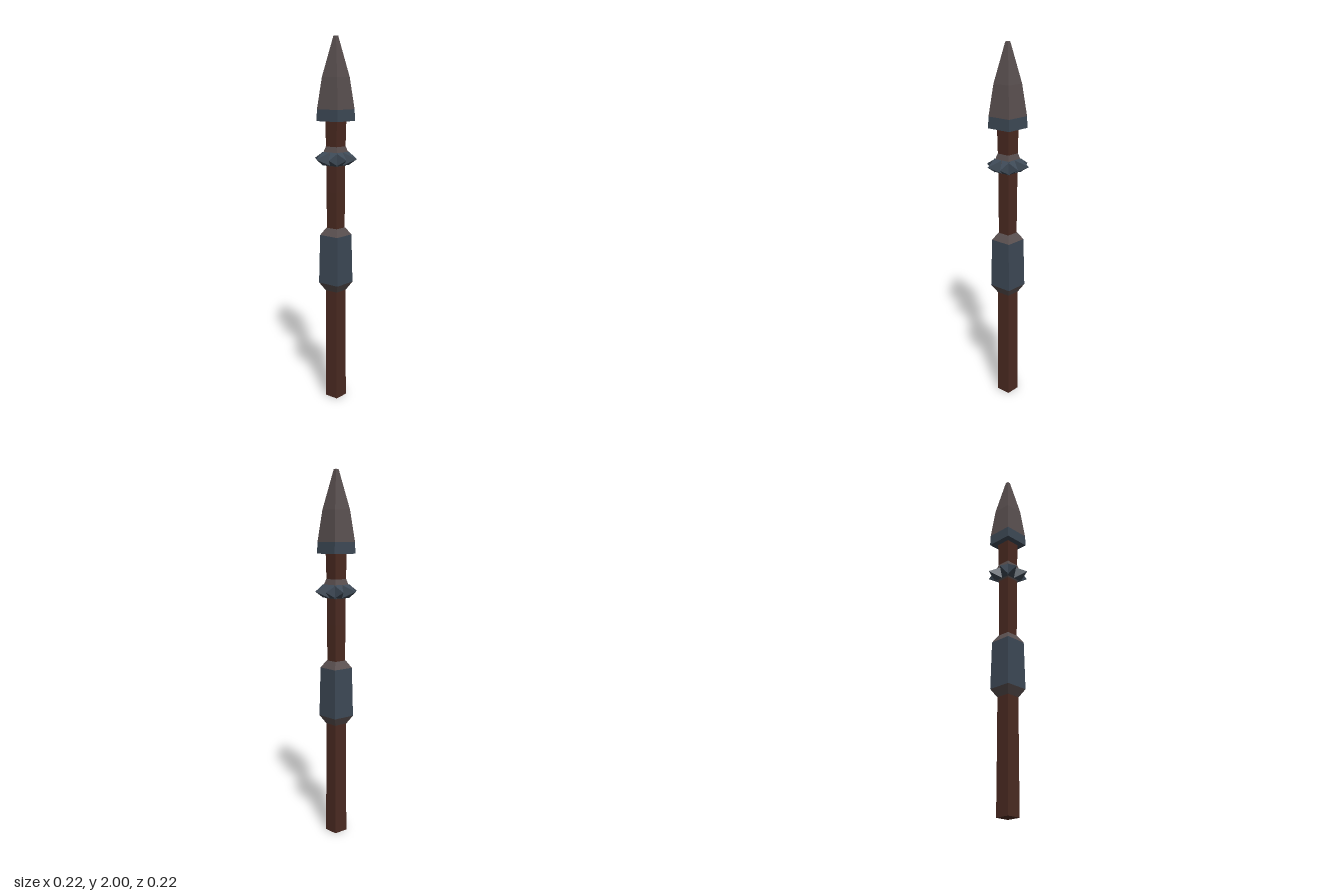
import * as THREE from 'three';

const mat = (name, color) => Object.assign(new THREE.MeshStandardMaterial({ color }), { name });

// Gives every face its own normal for a hard, low-poly look
function faceted(geo) {
  const g = geo.index ? geo.toNonIndexed() : geo;
  g.computeVertexNormals();
  return g;
}

// Closed square column through [half width, height] pairs, bottom to top
function column(profile) {
  const pts = profile.map(([h, y]) => new THREE.Vector2(h * Math.SQRT2, y));
  pts.unshift(new THREE.Vector2(0, profile[0][1]));
  pts.push(new THREE.Vector2(0, profile[profile.length - 1][1]));
  return faceted(new THREE.LatheGeometry(pts, 4, Math.PI / 4));
}

// Four-sided spike pointing to +z, with its tip leaning to one side
function spikeGeometry(side) {
  const [x0, x1] = side > 0 ? [0, 0.055] : [-0.055, 0];
  const h = 0.036, z = 0.046;
  const g = new THREE.BufferGeometry();
  g.setAttribute('position', new THREE.Float32BufferAttribute([
    x0, -h, z, x1, -h, z, x1, h, z, x0, h, z, side * 0.044, 0, 0.11,
  ], 3));
  g.setIndex([0, 1, 4, 1, 2, 4, 2, 3, 4, 3, 0, 4, 0, 2, 1, 0, 3, 2]);
  return faceted(g);
}

export function createModel() {
  const wood = mat('dark wood', 0x4c2b22);
  const steel = mat('blue steel', 0x3e4a57);
  const stone = mat('grey metal', 0x5a5050);

  const model = new THREE.Group();
  model.name = 'spear';
  const add = (name, geo, material, parent = model) => {
    const mesh = new THREE.Mesh(geo, material);
    mesh.name = name;
    parent.add(mesh);
    return mesh;
  };

  // Shaft, slightly waisted in the middle
  add('shaft', column([[0.041, 0], [0.04, 0.22], [0.039, 0.63], [0.034, 0.98],
    [0.036, 1.18], [0.036, 1.36], [0.04, 1.565]]), wood);

  // Grip with bevelled end rings
  add('gripLowerRing', column([[0.04, 0.625], [0.066, 0.67]]), stone);
  add('grip', column([[0.066, 0.67], [0.061, 0.94]]), steel);
  add('gripUpperRing', column([[0.061, 0.94], [0.037, 0.98]]), stone);

  // Collar with two spikes on each side
  const collar = new THREE.Group();
  collar.name = 'spikedCollar';
  model.add(collar);
  add('collarBand', column([[0.037, 1.32], [0.05, 1.345], [0.05, 1.385], [0.038, 1.425]]), stone, collar);
  for (const side of [-1, 1]) {
    const geo = spikeGeometry(side);
    for (let i = 0; i < 4; i++) {
      const spike = add('collarSpike', geo, steel, collar);
      spike.position.y = 1.36;
      spike.rotation.y = i * Math.PI / 2;
    }
  }

  // Spear head on its socket
  add('headSocket', column([[0.073, 1.56], [0.071, 1.622]]), steel);
  add('headBlade', column([[0.071, 1.622], [0.052, 1.79], [0.009, 2]]), stone);

  return model;
}
